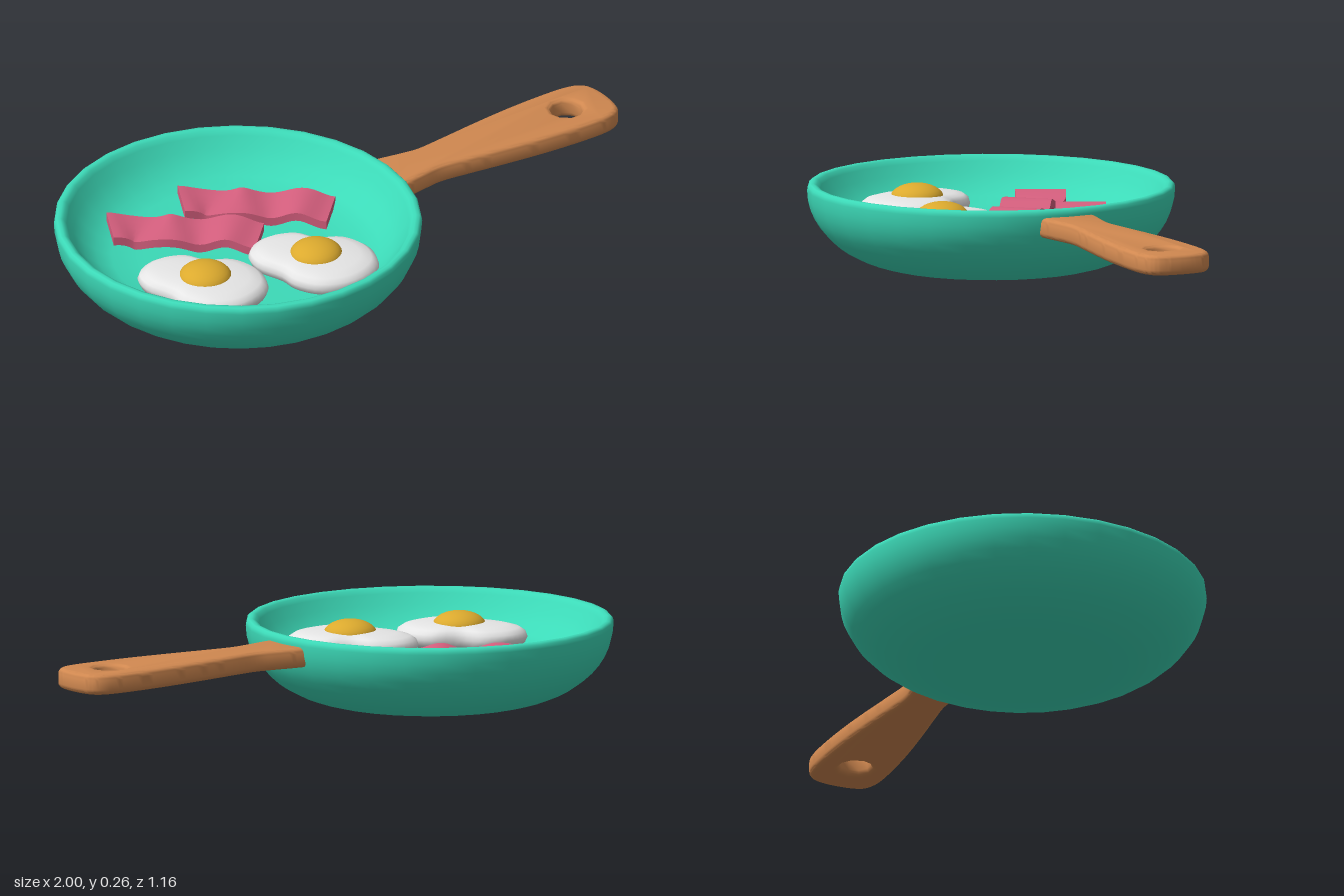
import * as THREE from 'three';
import { toCreasedNormals } from 'three/addons/utils/BufferGeometryUtils.js';

const paint = (name, color) => {
  const m = new THREE.MeshStandardMaterial({ color });
  m.name = name;
  return m;
};
const teal = paint('teal enamel', 0x3cdab8);
const wood = paint('wood', 0xd08850);
const white = paint('egg white', 0xe6e6e6);
const yellow = paint('yolk yellow', 0xdcaa2e);
const pink = paint('bacon pink', 0xd55f7e);

const PAN_X = -0.42;
const v2 = (p) => new THREE.Vector2(p[0], p[1]);

function part(name, geometry, material) {
  const mesh = new THREE.Mesh(geometry, material);
  mesh.name = name;
  return mesh;
}

// Pan: rounded outer wall, thin lip and a shallow dished floor
function makePan() {
  const profile = [v2([0, 0])];
  for (let i = 0; i <= 12; i++) {
    const a = (i / 12) * Math.PI / 2;
    profile.push(v2([0.27 + 0.312 * Math.sin(a), 0.245 * (1 - Math.cos(a))]));
  }
  const inside = [
    [0.58, 0.257], [0.573, 0.264], [0.562, 0.265], [0.551, 0.261], [0.541, 0.247],
    [0.52, 0.215], [0.49, 0.18], [0.45, 0.15], [0.4, 0.13], [0.3, 0.118], [0, 0.115],
  ];
  profile.push(...inside.map(v2));
  const pan = part('pan', new THREE.LatheGeometry(profile, 32), teal);
  pan.position.x = PAN_X;
  return pan;
}

// Handle: waisted outline with a hanging hole and softened edges
function makeHandle() {
  const side = [
    [0.115, 0.1], [0.18, 0.092], [0.25, 0.08], [0.32, 0.072], [0.42, 0.083], [0.55, 0.1],
    [0.68, 0.114], [0.8, 0.121], [0.9, 0.121], [0.955, 0.11], [0.985, 0.085], [0.997, 0.045],
  ];
  const upper = side.map(v2);
  const lower = side.map(([x, y]) => new THREE.Vector2(x, -y)).reverse();
  const shape = new THREE.Shape();
  shape.moveTo(lower[lower.length - 1].x, lower[lower.length - 1].y);
  shape.splineThru([...lower].reverse().slice(1));
  shape.splineThru([new THREE.Vector2(1, 0), ...[...upper].reverse()]);
  shape.closePath();
  const hole = new THREE.Path();
  hole.absarc(0.845, 0, 0.051, 0, Math.PI * 2, true);
  shape.holes.push(hole);
  const bevel = 0.018;
  const geo = new THREE.ExtrudeGeometry(shape, {
    depth: 0.065 - 2 * bevel, bevelThickness: bevel, bevelSize: bevel,
    bevelOffset: -bevel, bevelSegments: 4, curveSegments: 5,
  });
  geo.rotateX(-Math.PI / 2);
  geo.translate(0, 0.175 + bevel, 0);
  return part('handle', toCreasedNormals(geo, 0.7), wood);
}

// Egg white: a two-lobed outline stacked in rings to make a soft puddle
function makeEggWhite() {
  const outline = new THREE.CatmullRomCurve3([
    [-0.17, -0.085], [-0.15, -0.16], [-0.065, -0.2], [0.027, -0.17], [0.07, -0.1], [0.15, -0.05],
    [0.18, 0.045], [0.14, 0.145], [0.02, 0.19], [-0.085, 0.155], [-0.135, 0.075], [-0.14, 0.01],
  ].map(([x, z]) => new THREE.Vector3(x, 0, z)), true).getPoints(48).slice(0, 48);
  const rings = [
    [0, 0.13], [0.8, 0.132], [0.96, 0.145], [1, 0.165], [0.97, 0.182],
    [0.88, 0.194], [0.7, 0.202], [0.4, 0.206], [0, 0.207],
  ];
  const n = outline.length;
  const pos = [];
  const index = [];
  rings.forEach(([s, y], j) => outline.forEach((p, i) => {
    pos.push(p.x * s, y, p.z * s);
    if (j === rings.length - 1) return;
    const a = j * n + i;
    const b = j * n + ((i + 1) % n);
    index.push(a, a + n, b, b, a + n, b + n);
  }));
  const geo = new THREE.BufferGeometry();
  geo.setAttribute('position', new THREE.Float32BufferAttribute(pos, 3));
  geo.setIndex(index);
  geo.computeVertexNormals();
  return geo;
}

// Bacon: a thin slab bent along a winding centre line, rippling up and down
function makeBacon() {
  const path = new THREE.CatmullRomCurve3([
    [-0.7, -0.305], [-0.63, -0.27], [-0.56, -0.195], [-0.475, -0.14], [-0.405, -0.085], [-0.33, -0.01],
  ].map(([x, z]) => new THREE.Vector3(x, 0, z)));
  const geo = new THREE.BoxGeometry(1, 0.028, 0.16, 28, 1, 4);
  const pos = geo.attributes.position;
  for (let i = 0; i < pos.count; i++) {
    const t = Math.min(1, Math.max(0, pos.getX(i) + 0.5));
    const w = pos.getZ(i);
    const c = path.getPointAt(t);
    const d = path.getTangentAt(t);
    const y = 0.157 + pos.getY(i) + 0.011 * Math.cos(t * Math.PI * 5);
    pos.setXYZ(i, c.x - d.z * w, y, c.z + d.x * w);
  }
  geo.computeVertexNormals();
  return geo;
}

export function createModel() {
  const model = new THREE.Group();
  model.name = 'fryingPan';
  model.add(makePan(), makeHandle());

  // Two fried eggs
  const whiteGeo = makeEggWhite();
  const yolkGeo = new THREE.SphereGeometry(0.085, 32, 16);
  yolkGeo.scale(1, 0.55, 1);
  for (const [x, z] of [[-0.65, 0.15], [-0.283, 0.235]]) {
    const egg = new THREE.Group();
    egg.name = 'friedEgg';
    const yolk = part('yolk', yolkGeo, yellow);
    yolk.position.y = 0.193;
    egg.add(part('eggWhite', whiteGeo, white), yolk);
    egg.position.set(x, 0, z);
    model.add(egg);
  }

  // Two bacon strips side by side
  const baconGeo = makeBacon();
  for (const x of [0, 0.28]) {
    const strip = part('baconStrip', baconGeo, pink);
    strip.position.set(x, 0, x ? -0.008 : 0);
    model.add(strip);
  }
  return model;
}
